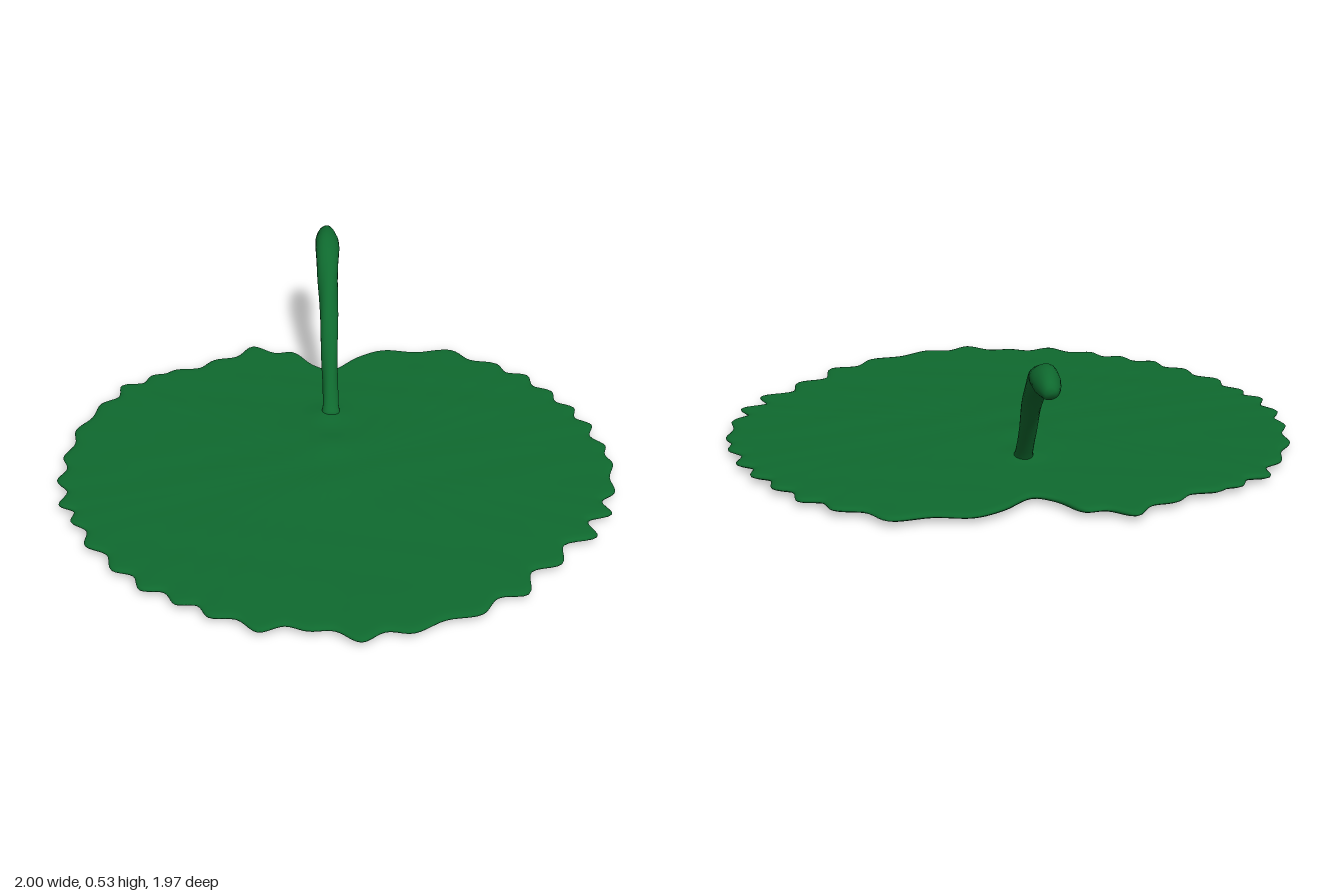
import * as THREE from 'three';
import { mergeVertices } from 'three/addons/utils/BufferGeometryUtils.js';

const green = new THREE.MeshStandardMaterial({ color: 0x0f6a2f });

// Joins closed rings of points, ordered from the bottom up, into one smooth skin
function loft(rings) {
  const n = rings[0].length;
  const index = [];
  for (let i = 0; i < rings.length - 1; i++) {
    for (let j = 0; j < n; j++) {
      const a = i * n + j, b = i * n + (j + 1) % n;
      index.push(a, a + n, b, b, a + n, b + n);
    }
  }
  let geometry = new THREE.BufferGeometry().setFromPoints(rings.flat());
  geometry.setIndex(index);
  geometry = mergeVertices(geometry, 1e-5);
  geometry.computeVertexNormals();
  return geometry;
}

// Tooth tips around the leaf (x, z, optional scale of the valley that follows)
const teeth = [
  [0, -0.68, 1.03], [0.21, -0.825, 0.98], [0.48, -0.82, 0.97], [0.65, -0.71], [0.76, -0.62],
  [0.84, -0.5], [0.91, -0.38], [0.96, -0.26], [0.99, -0.12, 0.985], [1, 0, 0.985],
  [0.98, 0.18, 0.96], [0.95, 0.31, 0.94], [0.88, 0.44, 0.94], [0.74, 0.59, 0.94],
  [0.61, 0.75, 0.96], [0.45, 0.85, 0.98], [0.22, 0.94, 0.97], [0.05, 0.98, 0.97],
  [-0.12, 0.92, 0.97], [-0.28, 0.92, 0.97], [-0.44, 0.84], [-0.55, 0.77], [-0.67, 0.69],
  [-0.77, 0.58], [-0.87, 0.44], [-0.93, 0.3], [-0.98, 0.2], [-1, 0.05, 0.975],
  [-0.99, -0.1, 0.98], [-0.96, -0.28, 0.985], [-0.88, -0.46], [-0.81, -0.59],
  [-0.7, -0.66, 0.99], [-0.61, -0.7], [-0.46, -0.77], [-0.31, -0.87], [-0.15, -0.82, 0.96],
];

function leafOutline() {
  const points = [];
  teeth.forEach(([x, z, valley = 0.967], i) => {
    const [nx, nz] = teeth[(i + 1) % teeth.length];
    points.push(new THREE.Vector3(x, 0, z));
    points.push(new THREE.Vector3((x + nx) / 2 * valley, 0, (z + nz) / 2 * valley));
  });
  return new THREE.CatmullRomCurve3(points, true).getPoints(370).slice(0, -1);
}

// Upper surface: a shallow dome with ripples and a few swellings near the stalk
function topHeight(x, z, s) {
  const bump = (cx, cz, r, h) => h * Math.exp(-((x - cx) ** 2 + (z - cz) ** 2) / (r * r));
  const ripple = 0.0015 * Math.sin(9 * x + 3 * Math.sin(6 * z)) * Math.sin(13 * z + 2 * x);
  return 0.026 + 0.016 * (1 - s) + ripple * Math.min(1, 4 * (1 - s))
    + bump(-0.03, -0.12, 0.09, 0.01) + bump(-0.12, -0.22, 0.08, 0.006)
    + bump(-0.02, -0.33, 0.07, 0.012) + bump(0, 0.14, 0.1, 0.004);
}

function createLeaf() {
  const outline = leafOutline();
  const ring = (s, height) => outline.map(({ x, z }) =>
    new THREE.Vector3(x * s, height === undefined ? topHeight(x * s, z * s, s) : height, z * s));
  // Flat underside and rounded rim
  const rings = [[0, 0.002], [0.5, 0.002], [0.95, 0.003], [0.985, 0.007], [0.998, 0.013],
    [1, 0.018], [0.992, 0.023]].map(([s, y]) => ring(s, y));
  const steps = 36;
  for (let i = steps; i >= 0; i--) rings.push(ring(0.975 * i / steps));
  return new THREE.Mesh(loft(rings), green);
}

// Curved stalk, thickening toward a blunt rounded tip
function createStalk() {
  const path = new THREE.CatmullRomCurve3([
    [-0.335, 0.015], [-0.42, 0.13], [-0.5, 0.235], [-0.575, 0.315], [-0.66, 0.388],
    [-0.74, 0.437], [-0.83, 0.471], [-0.9, 0.477], [-0.985, 0.472],
  ].map(([z, y]) => new THREE.Vector3(-0.012, y, z)));
  const profile = [[0, 0], [0, 0.038], [0.06, 0.03], [0.15, 0.029], [0.35, 0.032], [0.55, 0.036],
    [0.72, 0.041], [0.82, 0.046], [0.89, 0.045], [0.94, 0.038], [0.98, 0.029], [0.995, 0.018], [1, 0]];
  const side = new THREE.Vector3(1, 0, 0);
  const rings = [];
  const addRing = (t, radius) => {
    const centre = path.getPointAt(t);
    const up = new THREE.Vector3().crossVectors(side, path.getTangentAt(t));
    rings.push(Array.from({ length: 20 }, (_, j) => {
      const a = j / 20 * Math.PI * 2;
      const r = radius * (1 + 0.04 * Math.sin(3 * a + 17 * t));
      return centre.clone().addScaledVector(side, r * Math.cos(a)).addScaledVector(up, r * Math.sin(a));
    }));
  };
  profile.forEach(([t, r], i) => {
    const [nt, nr] = profile[i + 1] ?? [t, r];
    const steps = Math.max(1, Math.round((nt - t) / 0.04));
    for (let k = 0; k < steps; k++) addRing(t + (nt - t) * k / steps, r + (nr - r) * k / steps);
  });
  return new THREE.Mesh(loft(rings), green);
}

export function createModel() {
  const model = new THREE.Group();
  model.name = 'lilyPad';
  const leaf = createLeaf();
  leaf.name = 'leaf';
  const stalk = createStalk();
  stalk.name = 'stalk';
  model.add(leaf, stalk);
  return model;
}
